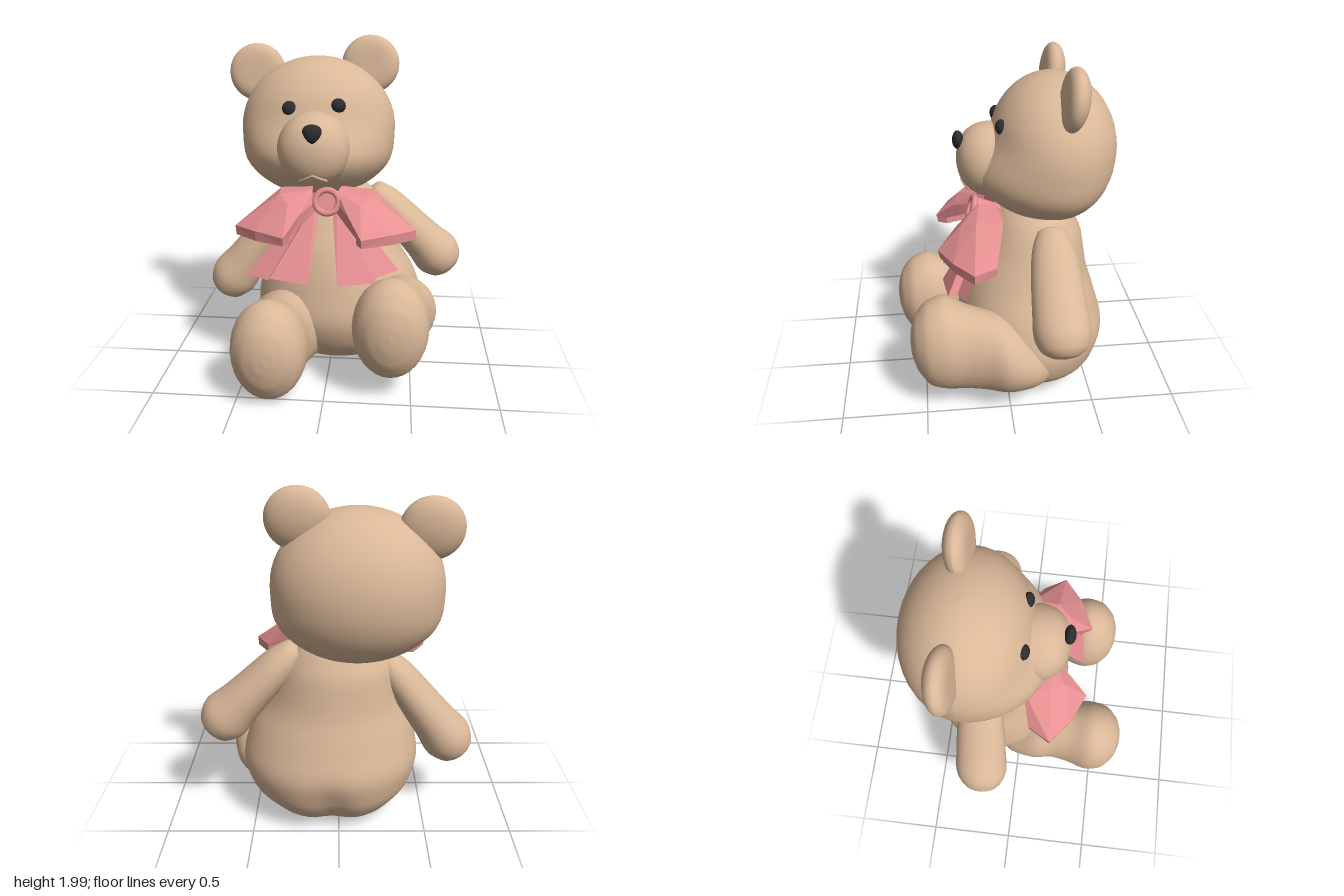
import * as THREE from 'three';

const V = (x, y, z) => new THREE.Vector3(x, y, z);
const { smoothstep, lerp } = THREE.MathUtils;
const fur = new THREE.MeshStandardMaterial({ name: 'tan fur', color: 0xdab898 });
const ribbon = new THREE.MeshStandardMaterial({ name: 'pink ribbon', color: 0xe89193, side: THREE.DoubleSide });
const black = new THREE.MeshStandardMaterial({ name: 'black button', color: 0x2b2d2f });

function mesh(name, geometry, material) {
  const m = new THREE.Mesh(geometry, material);
  m.name = name;
  return m;
}

// Skin over rings of points
function skin(rings, closed, flat) {
  const n = rings[0].length, index = [];
  for (let i = 0; i < rings.length - 1; i++) {
    for (let j = 0; j < (closed ? n : n - 1); j++) {
      const k = (j + 1) % n, a = i * n + j, b = i * n + k;
      index.push(a, b, a + n, b, b + n, a + n);
    }
  }
  let g = new THREE.BufferGeometry().setFromPoints(rings.flat());
  g.setIndex(index);
  if (flat) g = g.toNonIndexed();
  g.computeVertexNormals();
  return g;
}

// Smooth loft: rows are [x, y, z, radius along u, radius along v]
function loft(rows, travel, u, steps = 30, sides = 32) {
  const t = travel.clone().normalize();
  const v = t.clone().cross(u);
  const pos = new THREE.CatmullRomCurve3(rows.map(r => V(r[0], r[1], r[2])));
  const rad = new THREE.CatmullRomCurve3(rows.map(r => V(r[3], r[4], 0)), false, 'catmullrom', 0.4);
  const rings = [];
  for (let i = 0; i <= steps; i++) {
    const p = pos.getPoint(i / steps), r = rad.getPoint(i / steps);
    rings.push(Array.from({ length: sides }, (_, j) => {
      const a = (j / sides) * Math.PI * 2;
      return p.clone()
        .addScaledVector(u, Math.max(0, r.x) * Math.cos(a))
        .addScaledVector(v, Math.max(0, r.y) * Math.sin(a));
    }));
  }
  return skin(rings, true);
}

function ball(name, c, r, material, segments = 28) {
  const m = mesh(name, new THREE.SphereGeometry(1, segments, Math.round(segments * 0.7)), material);
  m.position.set(...c);
  m.scale.set(...r);
  return m;
}

// Move every vertex by a rule, then refresh the normals
function reshape(g, rule) {
  const p = g.attributes.position, v = V(0, 0, 0);
  for (let i = 0; i < p.count; i++) {
    rule(v.fromBufferAttribute(p, i));
    p.setXYZ(i, v.x, v.y, v.z);
  }
  g.computeVertexNormals();
  return g;
}

function makeBody() {
  const g = loft([
    [0.03, 0.015, -0.21, 0, 0],
    [0.03, 0.035, -0.21, 0.2, 0.2],
    [0.04, 0.10, -0.195, 0.32, 0.37],
    [0.05, 0.22, -0.175, 0.41, 0.48],
    [0.05, 0.38, -0.165, 0.45, 0.52],
    [0.04, 0.56, -0.155, 0.41, 0.48],
    [0.02, 0.76, -0.155, 0.35, 0.39],
    [0.0, 0.95, -0.19, 0.285, 0.33],
    [-0.01, 1.08, -0.2, 0.21, 0.26],
    [-0.02, 1.16, -0.22, 0.1, 0.14],
    [-0.02, 1.17, -0.22, 0, 0],
  ], V(0, 1, 0), V(0, 0, 1), 40, 48);
  // seat cleft at the lower back
  return reshape(g, v => {
    const back = smoothstep(-v.z, 0.25, 0.52);
    const low = 1 - smoothstep(v.y, 0.15, 0.48);
    v.z += 0.05 * back * low * Math.exp(-(((v.x - 0.04) / 0.1) ** 2));
  });
}

// Arm from shoulder to a thick rounded paw
function makeArm(a, b) {
  const A = V(...a), B = V(...b);
  const rows = [[0, 0, 0], [0.03, 0.075, 0.06], [0.2, 0.125, 0.1], [0.42, 0.145, 0.115], [0.65, 0.155, 0.13],
    [0.82, 0.16, 0.15], [0.93, 0.13, 0.12], [0.985, 0.07, 0.07], [1, 0, 0]]
    .map(([t, r, s]) => [...A.clone().lerp(B, t).toArray(), r, s]);
  return loft(rows, B.clone().sub(A), V(0, 0, 1));
}

// Leg from hip to sole, offset per side; lift and widen act on the thigh
function makeLeg(side, footX, thighX, dy, dz, lift, widen) {
  const rows = [
    [1, -0.27, 0.30, 0, 0], [1, -0.24, 0.295, 0.1, 0.09], [1, -0.13, 0.32, 0.19, 0.165],
    [1, 0.02, 0.37, 0.222, 0.24], [0.7, 0.14, 0.39, 0.195, 0.258], [0.3, 0.25, 0.405, 0.195, 0.275],
    [0, 0.37, 0.433, 0.22, 0.302], [0, 0.47, 0.435, 0.2, 0.27], [0, 0.54, 0.445, 0.135, 0.18],
    [0, 0.57, 0.45, 0.06, 0.08], [0, 0.577, 0.45, 0, 0],
  ].map(([k, z, y, rx, ry]) =>
    [side * lerp(footX, thighX, k), y + dy + lift * k, z + dz, rx * (1 + widen * k), ry]);
  return loft(rows, V(0, 0, 1), V(1, 0, 0), 40);
}

function makeEar(name, c, tilt) {
  const g = reshape(new THREE.SphereGeometry(1, 28, 20), v => {
    if (v.z > 0) v.z *= 0.65 + 0.35 * (v.x * v.x + v.y * v.y);
  });
  const m = mesh(name, g, fur);
  m.position.set(...c);
  m.scale.set(0.173, 0.173, 0.083);
  m.rotation.set(-0.14, 0, tilt);
  return m;
}

function makeHead() {
  const head = new THREE.Group();
  head.name = 'head';
  // skull with full jowls and cheeks pushed forward below the eyes
  const skull = ball('skull', [-0.1, 1.455, -0.3], [0.47, 0.425, 0.37], fur, 40);
  reshape(skull.geometry, v => {
    if (v.z > 0) v.z *= 1 + 0.36 * smoothstep(-v.y, -0.3, 0.4);
    v.x *= 1 + 0.08 * smoothstep(-v.y, 0.05, 0.6);
  });
  // muzzle with a fuller, blunter front
  const muzzle = ball('muzzle', [-0.09, 1.39, 0.03], [0.213, 0.215, 0.23], fur, 36);
  reshape(muzzle.geometry, v => { if (v.z > 0) v.z **= 0.7; });
  // nose narrows towards its lower edge
  const nose = ball('nose', [-0.08, 1.512, 0.246], [0.06, 0.053, 0.033], black, 18);
  reshape(nose.geometry, v => { v.x *= 0.85 + 0.3 * v.y; });
  // small lip fold
  const lip = new THREE.CatmullRomCurve3([V(-0.155, 1.235, 0.195), V(-0.11, 1.258, 0.222), V(-0.08, 1.272, 0.232),
    V(-0.05, 1.258, 0.222), V(-0.005, 1.235, 0.191)]);
  head.add(
    skull, muzzle, nose,
    mesh('mouth', new THREE.TubeGeometry(lip, 16, 0.008, 8), fur),
    makeEar('rightEar', [-0.48, 1.775, -0.345], 0.4),
    makeEar('leftEar', [0.213, 1.828, -0.352], -0.4),
    ball('rightEye', [-0.235, 1.612, 0.018], [0.043, 0.043, 0.032], black, 16),
    ball('leftEye', [0.045, 1.63, 0.012], [0.043, 0.043, 0.032], black, 16),
  );
  return head;
}

function makeBow() {
  const bow = new THREE.Group();
  bow.name = 'bow';
  // knot: short tube with a rolled front rim
  const knot = new THREE.Group();
  knot.name = 'knot';
  const tube = mesh('knotTube', new THREE.CylinderGeometry(0.072, 0.06, 0.16, 24), ribbon);
  tube.rotation.x = Math.PI / 2;
  tube.position.z = -0.08;
  knot.add(tube, mesh('knotRim', new THREE.TorusGeometry(0.067, 0.018, 10, 28), ribbon));
  knot.position.set(-0.005, 1.11, 0.18);
  knot.rotation.x = -0.3;
  bow.add(knot);

  for (const s of [1, -1]) {
    const side = s > 0 ? 'left' : 'right';
    const at = ([x, y, z]) => V(s * x - (s < 0 ? 0.03 : 0), y, z);
    // flared loop: root, swell, rim, lower rim, inner fold
    const rim = [[0.17, 0.945, 0.33], [0.2, 0.955, 0.39], [0.37, 0.965, 0.31], [0.505, 0.96, 0.2],
      [0.43, 0.96, 0.07], [0.27, 0.95, 0.06]];
    const loop = [
      [[0.03, 1.06, 0.15], [0.05, 1.1, 0.18], [0.06, 1.15, 0.17], [0.06, 1.17, 0.14], [0.07, 1.17, 0.05], [0.05, 1.11, 0.01]],
      [[0.1, 1.0, 0.24], [0.12, 1.06, 0.28], [0.19, 1.11, 0.25], [0.25, 1.145, 0.17], [0.26, 1.145, 0.02], [0.16, 1.05, 0.02]],
      rim,
      rim.map(([x, y, z]) => [0.3 + (x - 0.3) * 0.98, 0.905, 0.2 + (z - 0.2) * 0.95]),
      rim.map(([x, y, z]) => [0.24 + (x - 0.24) * 0.5, 0.96, 0.19 + (z - 0.19) * 0.3]),
    ].map(r => r.map(at));
    bow.add(mesh(side + 'Loop', skin(loop, true, true), ribbon));

    // pleated hanging tail
    const hem = s > 0
      ? [[0.07, 0.67, 0.37], [0.285, 0.69, 0.345], [0.29, 0.7, 0.29], [0.41, 0.73, 0.24]]
      : [[0.07, 0.67, 0.36], [0.29, 0.69, 0.335], [0.31, 0.65, 0.27], [0.45, 0.655, 0.2]];
    const root = [[0.02, 1.08, 0.13], [0.05, 1.08, 0.14], [0.06, 1.08, 0.11], [0.09, 1.09, 0.09]];
    bow.add(mesh(side + 'Tail', skin([root.map(at), hem.map(at)], false, true), ribbon));
  }
  return bow;
}

export function createModel() {
  const bear = new THREE.Group();
  bear.name = 'teddyBear';
  bear.add(
    mesh('body', makeBody(), fur),
    makeHead(),
    mesh('leftArm', makeArm([0.23, 1.09, -0.255], [0.75, 0.555, -0.265]), fur),
    mesh('rightArm', makeArm([-0.24, 1.03, -0.24], [-0.73, 0.365, -0.2]), fur),
    mesh('leftLeg', makeLeg(1, 0.375, 0.43, 0, 0, 0, 0), fur),
    mesh('rightLeg', makeLeg(-1, 0.312, 0.245, -0.12, 0.09, 0.04, 0.12), fur),
    makeBow(),
  );
  return bear;
}
